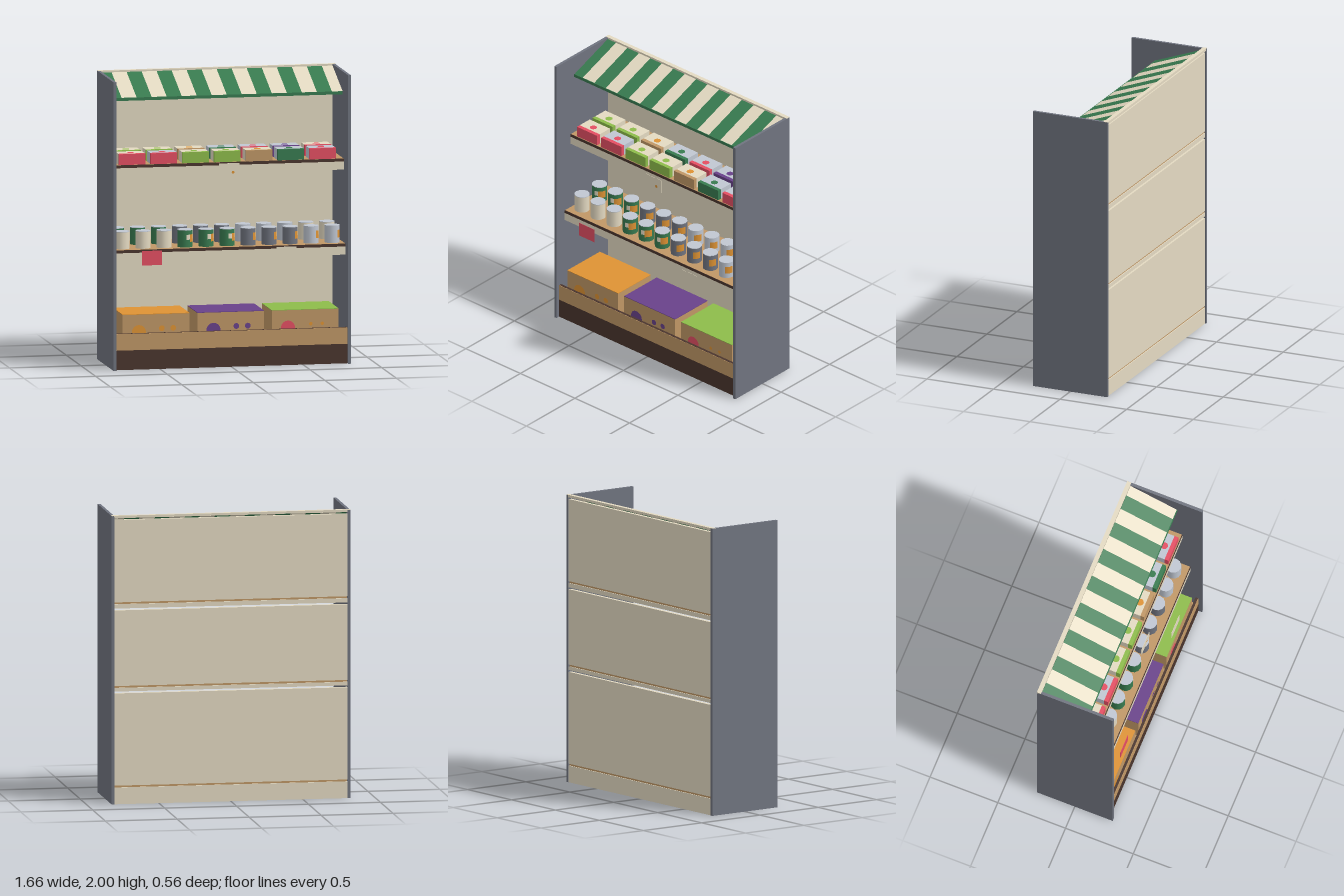
import * as THREE from 'three';

const mat = (name, color) => {
  const m = new THREE.MeshStandardMaterial({ color });
  m.name = name;
  return m;
};

export function createModel() {
  const root = new THREE.Group();
  root.name = 'shopShelf';
  const M = {
    cream: mat('cream', 0xe4dac2),
    slate: mat('slate', 0x70747f),
    dark: mat('darkBrown', 0x4a352d),
    wood: mat('wood', 0xc09766),
    green: mat('green', 0x387b50),
    red: mat('red', 0xe54f63),
    lime: mat('lime', 0x8dbc4a),
    purple: mat('purple', 0x69428a),
    orange: mat('orange', 0xde9334),
    metal: mat('lightMetal', 0xc0c7d2),
  };

  const group = (name, parent = root) => {
    const g = new THREE.Group();
    g.name = name;
    parent.add(g);
    return g;
  };
  // Box given by its min and max on each axis
  const box = (name, m, x0, x1, y0, y1, z0, z1, parent = root) => {
    const mesh = new THREE.Mesh(new THREE.BoxGeometry(x1 - x0, y1 - y0, z1 - z0), m);
    mesh.name = name;
    mesh.position.set((x0 + x1) / 2, (y0 + y1) / 2, (z0 + z1) / 2);
    parent.add(mesh);
    return mesh;
  };
  const disc = (name, m, r, x, y, z, parent, flat = false) => {
    const mesh = new THREE.Mesh(new THREE.CircleGeometry(r, 16), m);
    mesh.name = name;
    mesh.position.set(x, y, z);
    if (flat) mesh.rotation.x = -Math.PI / 2;
    parent.add(mesh);
  };

  const W = 0.81;

  // Side panels
  for (const s of [-1, 1]) {
    const a = s * W, b = s * 0.83;
    box(s > 0 ? 'leftSidePanel' : 'rightSidePanel', M.slate,
      Math.min(a, b), Math.max(a, b), 0, 1.998, -0.28, 0.28);
  }

  // Back panels separated by narrow slots, and the top cap
  const back = group('back');
  const edges = [0, 0.116, 0.768, 0.806, 1.343, 1.386, 1.97];
  for (let i = 0; i < edges.length - 1; i++) {
    box('backPanel', M.cream, -W, W, edges[i] + (i ? 0.013 : 0), edges[i + 1], -0.275, -0.25, back);
  }
  box('topCap', M.cream, -0.83, 0.83, 1.983, 2, -0.28, -0.25, back);

  // Base: kick board, bottom shelf and front lip
  const base = group('base');
  box('kickBoard', M.dark, -W, W, 0, 0.135, 0.23, 0.253, base);
  box('bottomShelf', M.wood, -W, W, 0.11, 0.13, -0.25, 0.23, base);
  box('bottomShelfTongue', M.wood, -W, W, 0.116, 0.129, -0.268, -0.25, base);
  box('frontLip', M.dark, -W, W, 0.135, 0.25, 0.232, 0.25, base);
  box('lipFace', M.wood, -W, W, 0.135, 0.249, 0.25, 0.253, base);

  // Shelves with a dark front edge, a back tongue and an upright price rail
  for (const [y, zf] of [[0.82, 0.195], [1.4, 0.135]]) {
    const g = group('shelf');
    box('shelfBoard', M.wood, -W, W, y - 0.02, y, -0.25, zf - 0.004, g);
    box('shelfTongue', M.wood, -W, W, y - 0.014, y - 0.001, -0.268, -0.25, g);
    box('shelfEdge', M.dark, -W, W, y - 0.02, y, zf - 0.004, zf, g);
    box('priceRail', M.cream, -W, W, y - 0.076, y - 0.02, zf - 0.006, zf, g);
  }

  // Price tags hanging clear of the rails
  const tags = group('priceTags');
  box('redTag', M.red, -0.625, -0.485, 0.72, 0.82, 0.253, 0.255, tags);
  box('creamTag', M.cream, 0.315, 0.455, 0.72, 0.82, 0.253, 0.255, tags);
  box('creamTag', M.cream, -0.075, 0.068, 1.3, 1.4, 0.187, 0.189, tags);
  disc('tagDot', M.orange, 0.01, 0.025, 1.337, 0.19, tags);

  // Produce crates with coloured lids and painted fruit
  const crates = group('crates');
  const lids = [M.orange, M.purple, M.lime], fruit = [M.orange, M.purple, M.red];
  for (let i = 0; i < 3; i++) {
    const x = -0.522 + i * 0.521;
    const g = group('crate', crates);
    box('crateBody', M.wood, x - 0.233, x + 0.233, 0.13, 0.376, -0.105, 0.229, g);
    box('crateLid', lids[i], x - 0.233, x + 0.233, 0.376, 0.38, -0.105, 0.229, g);
    disc('paintedFruit', fruit[i], 0.05, x - 0.12, 0.255, 0.2302, g);
    const small = i === 2 ? M.orange : fruit[i], r = i === 2 ? 0.012 : 0.02;
    for (const dx of [0.04, 0.12]) disc('paintedFruit', small, r, x + dx, 0.278, 0.2302, g);
  }

  // Cans: two rows, colours in runs of three
  const cans = group('cans');
  const canColors = [M.cream, M.green, M.slate, M.metal];
  const step = Math.PI / 6;
  const canGeo = new THREE.CylinderGeometry(0.053, 0.053, 0.116, 12);
  const lidGeo = new THREE.CylinderGeometry(0.053, 0.053, 0.004, 12);
  const spotGeo = new THREE.CylinderGeometry(0.0537, 0.0537, 0.052, 2, 1, true, step, 2 * step);
  const patchGeo = new THREE.CylinderGeometry(0.0537, 0.0537, 0.035, 1, 1, true, 0, step);
  for (let row = 0; row < 2; row++) {
    for (let i = 0; i < 11; i++) {
      const kind = (Math.floor(i / 3) + row) % 4;
      const g = group('can', cans);
      g.position.set(-0.735 + i * 0.147, 0.82, row ? -0.08 : 0.1);
      const put = (name, geo, m, y) => {
        const mesh = new THREE.Mesh(geo, m);
        mesh.name = name;
        mesh.position.y = y;
        g.add(mesh);
      };
      put('canBody', canGeo, canColors[kind], 0.058);
      put('canLid', lidGeo, M.metal, 0.118);
      if (kind) put('canSpot', spotGeo, M.orange, 0.062);
      if (kind === 1) put('canPatch', patchGeo, M.cream, 0.07);
    }
  }

  // Cartons: pale boxes with a coloured front end and a dot on the lid
  const cartons = group('cartons');
  const kinds = [
    [M.cream, M.red, M.red], [M.metal, M.red, M.red], [M.cream, M.lime, M.lime],
    [M.cream, M.lime, M.lime], [M.cream, M.wood, M.orange], [M.metal, M.green, M.green],
    [M.metal, M.red, M.red], [M.metal, M.purple, M.purple],
  ];
  for (let row = 0; row < 2; row++) {
    for (let i = 0; i < 7; i++) {
      const [body, label, dot] = kinds[(i + row * 2) % 8];
      const x = -0.667 + i * 0.222, z = row ? -0.1 : 0.06;
      const g = group('carton', cartons);
      box('cartonBody', body, x - 0.092, x + 0.092, 1.4, 1.475, z - 0.066, z + 0.038, g);
      box('cartonFront', label, x - 0.092, x + 0.092, 1.4, 1.475, z + 0.038, z + 0.066, g);
      disc('cartonDot', dot, 0.025, x, 1.4765, z, g, true);
    }
  }

  // Striped sloping awning with a green front trim
  const awning = group('awning');
  const zb = -0.25, zf = 0.095, yb = 1.988, yf = 1.86;
  const len = Math.hypot(zf - zb, yb - yf);
  for (let k = 0; k < 16; k++) {
    const x0 = Math.max(-W, -0.84 + k * 0.105);
    const x1 = Math.min(W, -0.84 + (k + 1) * 0.105);
    const stripe = box('awningStripe', k % 2 ? M.cream : M.green, x0, x1, 0, 0.01, 0, len, awning);
    stripe.position.set((x0 + x1) / 2, (yb + yf) / 2 - 0.005, (zb + zf) / 2);
    stripe.rotation.x = Math.atan2(yb - yf, zf - zb);
  }
  box('awningTrim', M.green, -W, W, 1.84, 1.861, 0.083, 0.098, awning);

  return root;
}
